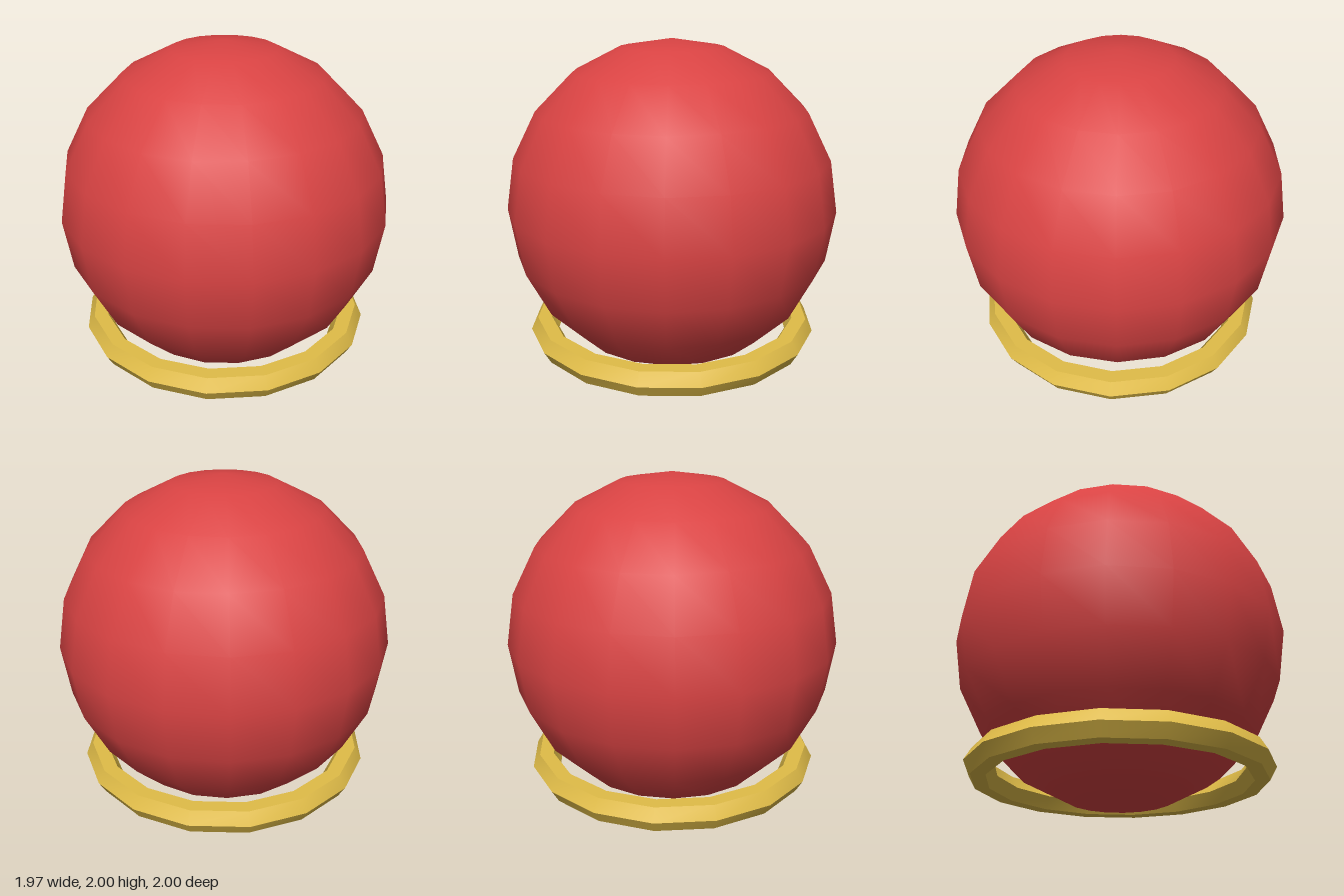
import * as THREE from 'three';
import { toCreasedNormals } from 'three/addons/utils/BufferGeometryUtils.js';

export function createModel() {
  const model = new THREE.Group();
  const red = new THREE.MeshStandardMaterial({ name: 'red', color: 0xd94343 });
  const gold = new THREE.MeshStandardMaterial({ name: 'gold', color: 0xe0bc48 });

  // Smooth, low-poly ball with a vertex column facing the front
  const ball = new THREE.Mesh(new THREE.SphereGeometry(1, 18, 10), red);
  ball.name = 'ball';
  ball.rotation.y = Math.PI / 2;
  ball.position.y = 1;
  model.add(ball);

  // Hexagonal-section ring, smooth around its length with sharp long edges
  const ringGeometry = toCreasedNormals(new THREE.TorusGeometry(0.81, 0.086, 6, 16), Math.PI / 4.5);
  ringGeometry.rotateX(Math.PI / 2);
  const ring = new THREE.Mesh(ringGeometry, gold);
  ring.name = 'ring';
  ring.position.y = 0.215;
  model.add(ring);

  return model;
}
